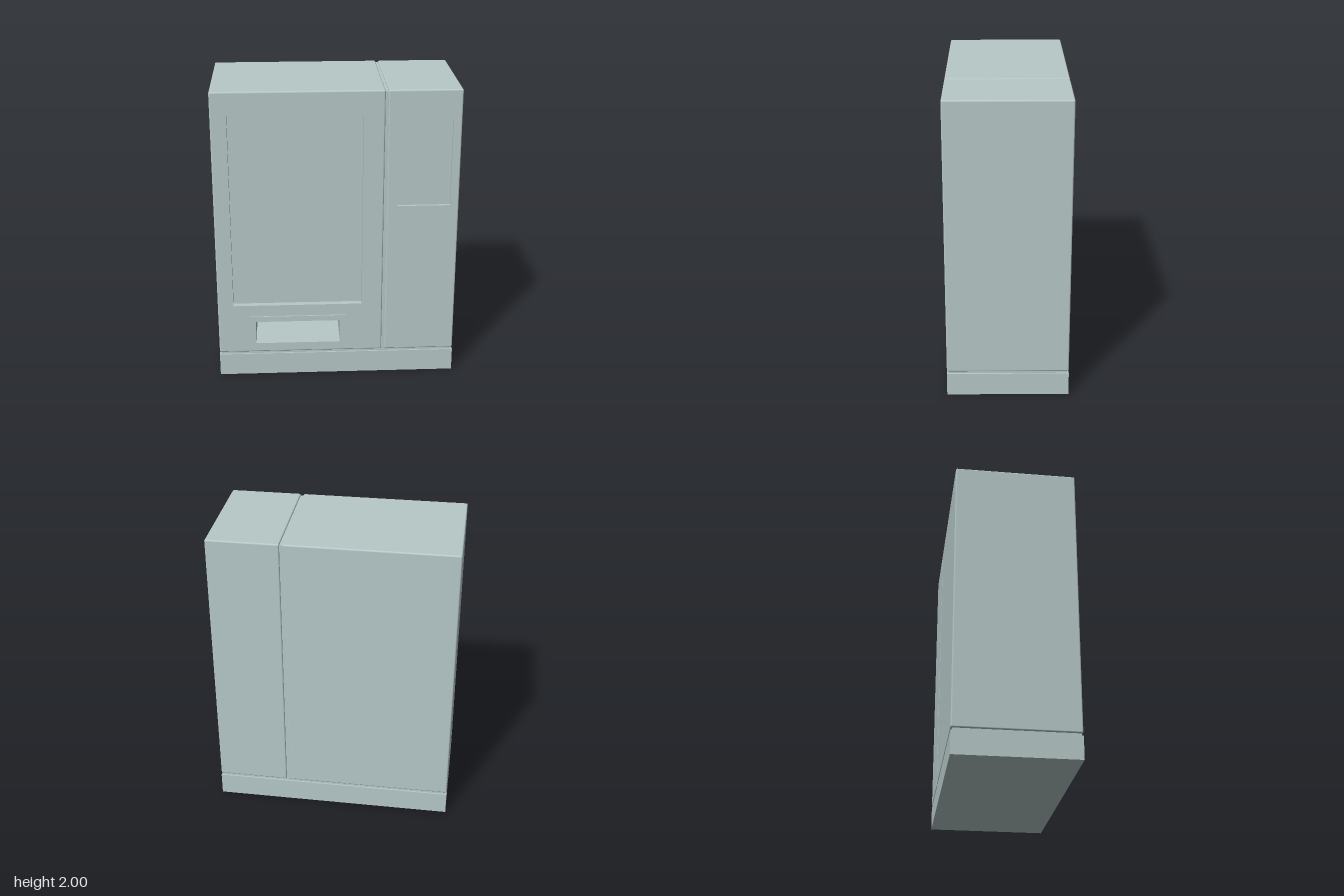
import * as THREE from 'three';
import { mergeGeometries } from 'three/addons/utils/BufferGeometryUtils.js';
import { RoundedBoxGeometry } from 'three/addons/geometries/RoundedBoxGeometry.js';

const FRONT = 0.394, BACK = -0.402, RADIUS = 0.01;

function rectPath(path, { x0, x1, y0, y1 }) {
  path.moveTo(x0, y0);
  path.lineTo(x1, y0);
  path.lineTo(x1, y1);
  path.lineTo(x0, y1);
  path.closePath();
  return path;
}

function plate(outer, holes) {
  const shape = rectPath(new THREE.Shape(), outer);
  holes.forEach((h) => shape.holes.push(rectPath(new THREE.Path(), h)));
  return shape;
}

// Rounded cabinet whose flat front face is replaced by one with openings
function cabinetGeometry(r, holes) {
  const w = r.x1 - r.x0, h = r.y1 - r.y0, d = FRONT - BACK;
  const box = new RoundedBoxGeometry(w, h, d, 3, RADIUS);
  box.translate((r.x0 + r.x1) / 2, (r.y0 + r.y1) / 2, (FRONT + BACK) / 2);
  const pos = box.attributes.position, keep = [];
  for (let i = 0; i < pos.count; i += 3) {
    const flatFront = [0, 1, 2].every((k) => pos.getZ(i + k) > FRONT - 1e-5);
    if (!flatFront) keep.push(i, i + 1, i + 2);
  }
  box.setIndex(keep);
  box.clearGroups();
  const inner = { x0: r.x0 + RADIUS, x1: r.x1 - RADIUS, y0: r.y0 + RADIUS, y1: r.y1 - RADIUS };
  const face = new THREE.ShapeGeometry(plate(inner, holes));
  face.translate(0, 0, FRONT);
  return mergeGeometries([box, face]);
}

// Open-fronted pocket: a box without its front, turned inside out
function pocketGeometry(r, depth) {
  const box = new THREE.BoxGeometry(r.x1 - r.x0, r.y1 - r.y0, depth);
  box.translate((r.x0 + r.x1) / 2, (r.y0 + r.y1) / 2, FRONT - depth / 2);
  const index = Array.from(box.index.array);
  index.splice(24, 6);
  box.setIndex(index.reverse());
  box.clearGroups();
  const n = box.attributes.normal;
  for (let i = 0; i < n.count; i++) n.setXYZ(i, -n.getX(i), -n.getY(i), -n.getZ(i));
  return box;
}

function blockGeometry(r, inset) {
  const box = new THREE.BoxGeometry(r.x1 - r.x0, r.y1 - r.y0, FRONT - BACK - 2 * inset);
  return box.translate((r.x0 + r.x1) / 2, (r.y0 + r.y1) / 2, (FRONT + BACK) / 2);
}

export function createModel() {
  const group = new THREE.Group();
  const paint = new THREE.MeshStandardMaterial({ color: 0xb7c9c8 });
  paint.name = 'pale grey green';
  const add = (name, geometry) => {
    const mesh = new THREE.Mesh(geometry, paint);
    mesh.name = name;
    group.add(mesh);
  };

  const windowRect = { x0: -0.695, x1: 0.17, y0: 0.52, y1: 1.845 };
  const slotRect = { x0: -0.547, x1: 0.022, y0: 0.24, y1: 0.402 };
  const panelRect = { x0: 0.396, x1: 0.742, y0: 1.222, y1: 1.805 };

  // Display cabinet and control cabinet
  add('displayCabinet', cabinetGeometry({ x0: -0.8, x1: 0.307, y0: 0.17, y1: 2 }, [windowRect, slotRect]));
  add('controlCabinet', cabinetGeometry({ x0: 0.326, x1: 0.798, y0: 0.17, y1: 2 }, [panelRect]));

  // Recesses
  add('displayWindow', pocketGeometry(windowRect, 0.04));
  add('controlPanel', pocketGeometry(panelRect, 0.02));
  add('dispenserSlot', pocketGeometry(slotRect, 0.35));

  // Raised frame around the dispenser slot
  const frame = new THREE.ExtrudeGeometry(
    plate({ x0: -0.587, x1: 0.063, y0: 0.2, y1: 0.44 }, [slotRect]),
    { depth: 0.009, bevelEnabled: false });
  add('dispenserFrame', frame.translate(0, 0, FRONT));

  // Plinth, with set-back fillers in the seams
  add('plinth', blockGeometry({ x0: -0.8, x1: 0.798, y0: 0, y1: 0.154 }, 0));
  add('plinthSeam', blockGeometry({ x0: -0.79, x1: 0.788, y0: 0.14, y1: 0.19 }, 0.01));
  add('cabinetSeam', blockGeometry({ x0: 0.29, x1: 0.345, y0: 0.15, y1: 1.99 }, 0.01));

  return group;
}
